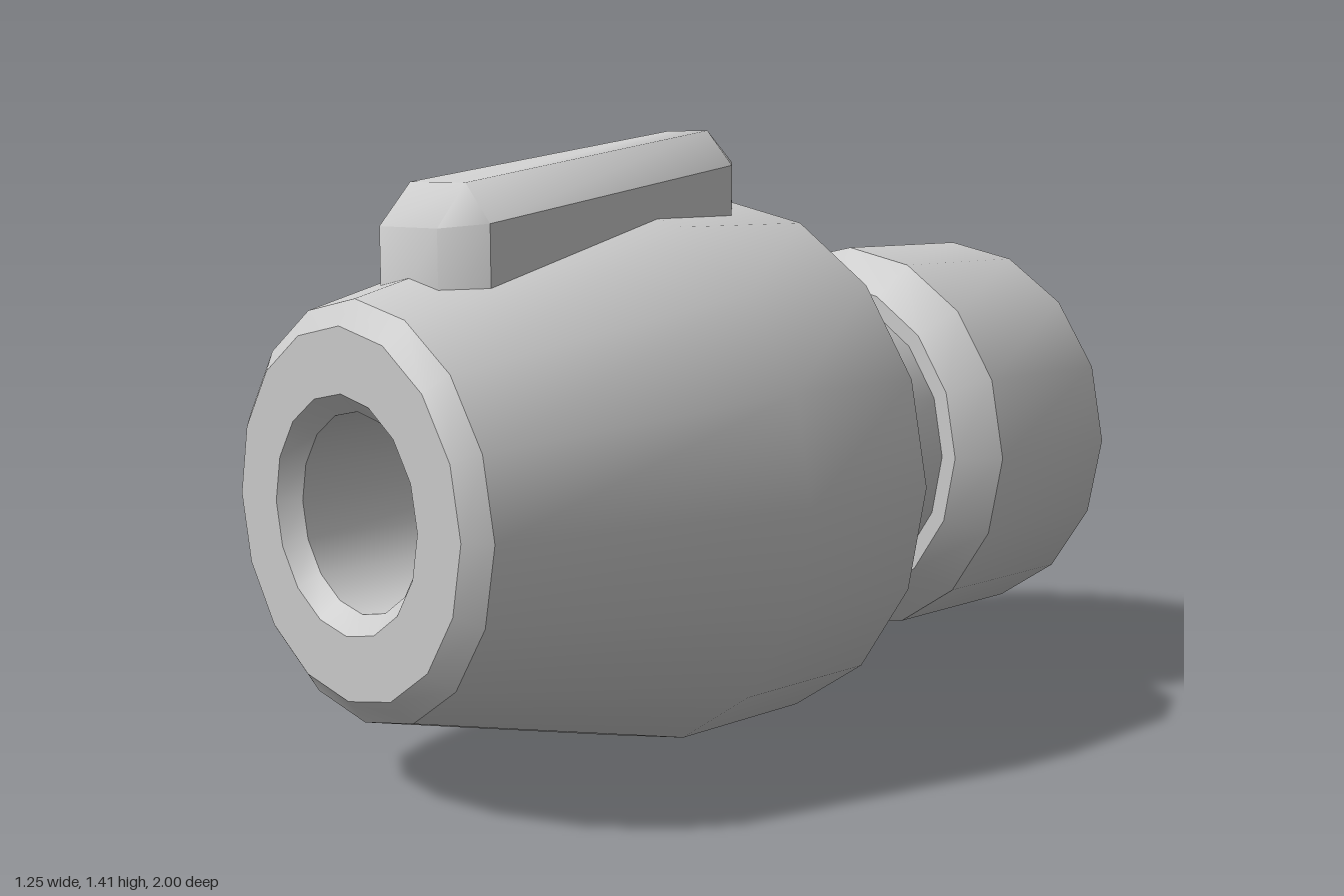
import * as THREE from 'three';
import { toCreasedNormals } from 'three/addons/utils/BufferGeometryUtils.js';

const AXIS_Y = 0.622;
const SIDES = 16;
const material = new THREE.MeshStandardMaterial({ color: 0xcccccc });

// Turned part along z; profile is [radius, z] from back to front.
function turned(name, profile) {
  const points = profile.map(([r, z]) => new THREE.Vector2(r, z));
  const geometry = new THREE.LatheGeometry(points, SIDES);
  geometry.rotateX(Math.PI / 2);
  geometry.translate(0, AXIS_Y, 0);
  const mesh = new THREE.Mesh(toCreasedNormals(geometry, 0.55), material);
  mesh.name = name;
  return mesh;
}

// Tapered raised rib with a bevelled top, skinned from three eight-point rings.
function createRib() {
  // Right half of each ring, front to back: [x, y, z]
  const shoulder = [[0.1, 1.205, 0.825], [0.178, 1.215, 0.75], [0.148, 1.33, 0.02], [0.07, 1.337, -0.06]];
  const base = shoulder.map(([x, , z], i) => [x, i < 2 ? 0.95 : 1.1, z]);
  const front = [0.095, 1.297, 0.747];
  const back = [0.066, 1.41, 0.018];
  const top = [front, front, back, back];
  const rings = [base, shoulder, top].map((half) => [
    ...half,
    ...[...half].reverse().map(([x, y, z]) => [-x, y, z]),
  ]);

  const positions = [];
  const same = (p, q) => p.every((v, i) => v === q[i]);
  const triangle = (a, b, c) => {
    if (!same(a, b) && !same(b, c) && !same(a, c)) positions.push(...a, ...b, ...c);
  };
  for (let k = 0; k < 2; k++) {
    for (let i = 0; i < 8; i++) {
      const j = (i + 1) % 8;
      const [lower, upper] = [rings[k], rings[k + 1]];
      triangle(lower[i], lower[j], upper[j]);
      triangle(lower[i], upper[j], upper[i]);
    }
  }
  // Flat top
  const t = rings[2];
  triangle(t[0], t[2], t[4]);
  triangle(t[0], t[4], t[6]);

  const geometry = new THREE.BufferGeometry();
  geometry.setAttribute('position', new THREE.Float32BufferAttribute(positions, 3));
  geometry.computeVertexNormals();
  const mesh = new THREE.Mesh(toCreasedNormals(geometry, 0.8), material);
  mesh.name = 'topRib';
  return mesh;
}

export function createModel() {
  const group = new THREE.Group();
  group.name = 'nozzle';

  group.add(
    // Tapered barrel with bevelled rims and a bored mouth
    turned('barrel', [
      [0, -0.155], [0.585, -0.155], [0.623, -0.115], [0.623, 0.265],
      [0.443, 0.96], [0.39, 1], [0.252, 1], [0.212, 0.96], [0.212, 0.2], [0, 0.2],
    ]),
    // Narrow neck joining barrel and end cap
    turned('neck', [[0.373, -0.52], [0.373, -0.14]]),
    // Bevelled end cap
    turned('endCap', [[0, -1], [0.496, -1], [0.496, -0.57], [0.413, -0.49], [0, -0.49]]),
    createRib(),
  );
  return group;
}
